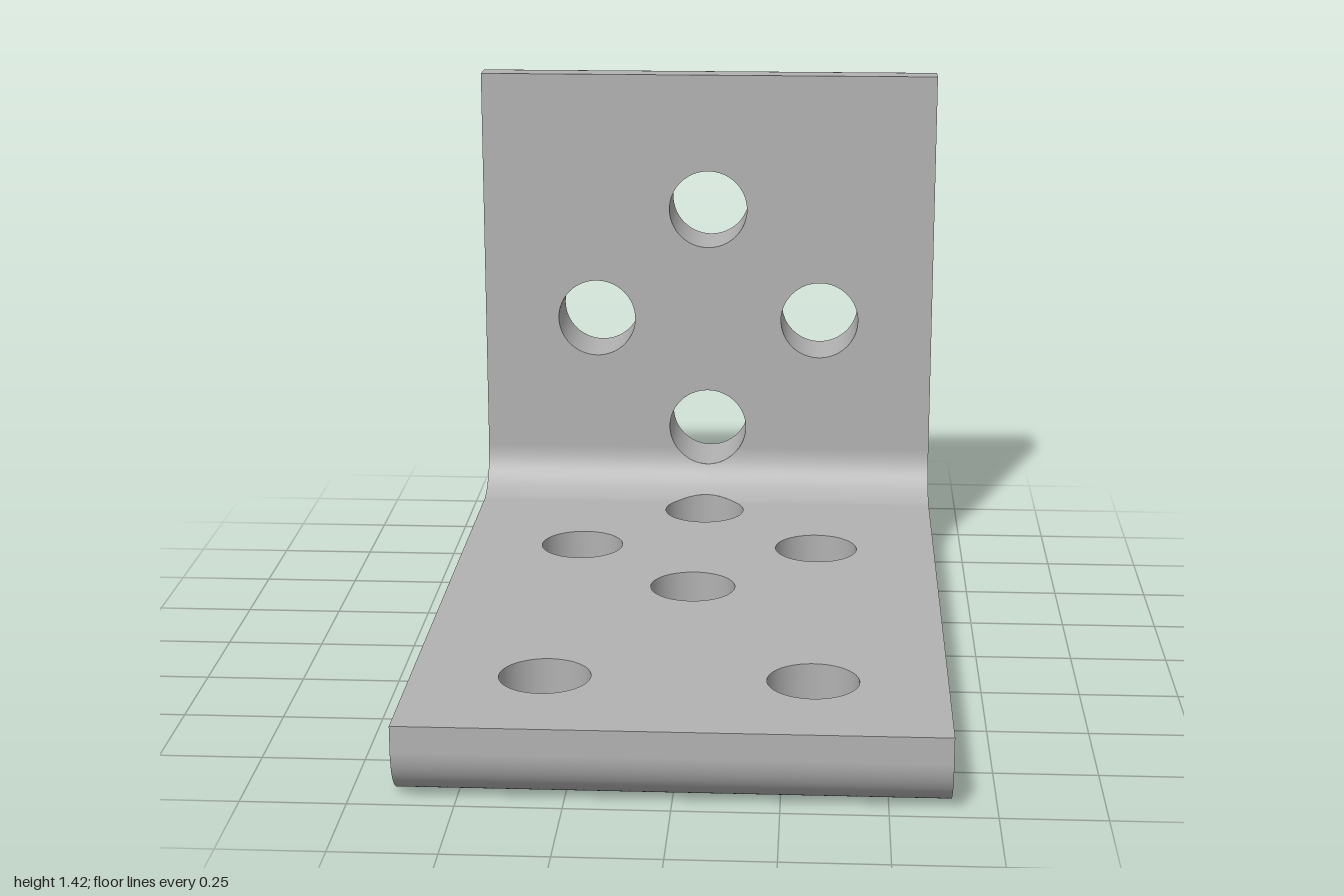
import * as THREE from 'three';

const W = 0.645;        // half width
const T = 0.195;        // plate thickness
const R = 0.13;         // radius of the inner fillet and the rounded ends
const C = T + R;        // fillet centre, measured from the outer corner
const HOLE = 0.111;     // hole radius
const NEAR = 0.387;     // distance of the nearest hole from the outer corner
const FLOOR = 2, WALL = 1.42;
const STEPS = 24;

const steel = new THREE.MeshStandardMaterial({ color: 0xb2b2b2, side: THREE.DoubleSide });
steel.name = 'grey steel';

function part(name, geometry) {
  const mesh = new THREE.Mesh(geometry, steel);
  mesh.name = name;
  return mesh;
}

// Each leg lies along v (local z) with its thickness along h (local y).
// Points of the rounded end: outer face, quarter round, flat tip.
function endCurve(length) {
  const pts = [];
  for (let i = 0; i <= STEPS; i++) {
    const t = (i / STEPS) * Math.PI / 2, s = Math.sin(t), c = Math.cos(t);
    pts.push({ v: length - R + R * s, h: R - R * c, nv: s, nh: -c, w: 0 });
  }
  pts.push({ v: length, h: T, nv: 1, nh: 0, w: 0 });
  return pts;
}

// Half of the inner fillet, up to the mitre; w is the half width cut away by the near hole.
function filletCurve() {
  const tip = Math.asin((C - (NEAR - HOLE)) / R);
  const angles = [];
  for (let i = 0; i <= STEPS; i++) angles.push(tip * Math.sin((i / STEPS) * Math.PI / 2));
  for (let i = 1; i <= STEPS; i++) angles.push(tip + (Math.PI / 4 - tip) * i / STEPS);
  return angles.map((t) => {
    const s = Math.sin(t), c = Math.cos(t), v = C - R * s;
    const w = Math.sqrt(Math.max(0, HOLE * HOLE - (NEAR - v) ** 2));
    return { v, h: C - R * c, nv: s, nh: c, w };
  });
}

// Smooth surface swept across the width, split left and right of x = 0.
function ribbon(curve) {
  const pos = [], nor = [], index = [];
  for (const side of [-1, 1]) {
    const base = pos.length / 3;
    curve.forEach((p, i) => {
      const [x0, x1] = side < 0 ? [-W, -p.w] : [p.w, W];
      pos.push(x0, p.h, p.v, x1, p.h, p.v);
      nor.push(0, p.nh, p.nv, 0, p.nh, p.nv);
      const a = base + 2 * i;
      if (i < curve.length - 1) index.push(a, a + 1, a + 3, a, a + 3, a + 2);
    });
  }
  const g = new THREE.BufferGeometry();
  g.setAttribute('position', new THREE.Float32BufferAttribute(pos, 3));
  g.setAttribute('normal', new THREE.Float32BufferAttribute(nor, 3));
  g.setIndex(index);
  return g;
}

function arc(x, v, a0, a1) {
  const pts = [];
  for (let i = 0; i <= 64; i++) {
    const a = a0 + (a1 - a0) * i / 64;
    pts.push([x + HOLE * Math.cos(a), v + HOLE * Math.sin(a)]);
  }
  return pts;
}

// Flat face with round holes; s = -1 faces up, s = 1 faces down.
function sheet(outline, holes, s) {
  const toVec = ([x, v]) => new THREE.Vector2(x, s * v);
  const shape = new THREE.Shape(outline.map(toVec));
  for (const [x, v] of holes) {
    shape.holes.push(new THREE.Path(arc(x, v, 0, Math.PI * 2).slice(0, -1).map(toVec)));
  }
  return new THREE.ShapeGeometry(shape).rotateX(s * Math.PI / 2);
}

// Hole lining, whose rim follows the fillet where it runs into it.
function bore(x, v) {
  const g = new THREE.CylinderGeometry(HOLE, HOLE, 1, 64, 1, true).translate(x, 0, v);
  const p = g.attributes.position;
  for (let i = 0; i < p.count; i++) {
    const d = Math.max(0, C - p.getZ(i));
    p.setY(i, p.getY(i) < 0 ? 0 : C - Math.sqrt(R * R - d * d));
    if (p.getY(i) > 0 && d === 0) p.setY(i, T);
  }
  return g;
}

function leg(name, length, holes) {
  const group = new THREE.Group();
  group.name = name;
  const a = Math.asin((C - NEAR) / HOLE);
  const inner = [[-W, C], ...arc(0, NEAR, Math.PI - a, a), [W, C], [W, length], [-W, length]];
  const outer = [[-W, 0], [W, 0], [W, length - R], [-W, length - R]];
  const near = [0, NEAR];
  group.add(
    part(name + 'InnerFace', sheet(inner, holes, -1).translate(0, T, 0)),
    part(name + 'OuterFace', sheet(outer, [near, ...holes], 1)),
    part(name + 'RoundedEnd', ribbon(endCurve(length))),
    part(name + 'Fillet', ribbon(filletCurve())),
  );
  for (const [x, v] of [near, ...holes]) group.add(part(name + 'Hole', bore(x, v)));
  return group;
}

// L-shaped side face; side = 1 is the left, -1 the right.
function sideFace(side) {
  const half = (length) => [...endCurve(length), ...filletCurve()];
  const profile = [
    [0, 0],
    ...half(FLOOR).map((p) => [p.v, p.h]),
    ...half(WALL).reverse().slice(1).map((p) => [p.h, p.v]),
  ];
  const shape = new THREE.Shape(profile.map(([v, h]) => new THREE.Vector2(-side * v, h)));
  return new THREE.ShapeGeometry(shape).rotateY(side * Math.PI / 2).translate(side * W, 0, 0);
}

export function createModel() {
  const model = new THREE.Group();
  model.name = 'angleBracket';
  const bracket = new THREE.Group();
  bracket.name = 'bracket';
  bracket.position.z = -1;

  const floor = leg('floorLeg', FLOOR,
    [[-0.322, 0.709], [0.322, 0.709], [0, 1.031], [-0.322, 1.675], [0.322, 1.675]]);
  const wall = leg('wallLeg', WALL, [[-0.322, 0.711], [0.322, 0.711], [0, 1.034]]);
  // Half turn about the mitre stands the wall leg upright
  wall.quaternion.setFromAxisAngle(new THREE.Vector3(0, 1, 1).normalize(), Math.PI);

  bracket.add(floor, wall, part('leftSide', sideFace(1)), part('rightSide', sideFace(-1)));
  model.add(bracket);
  return model;
}
